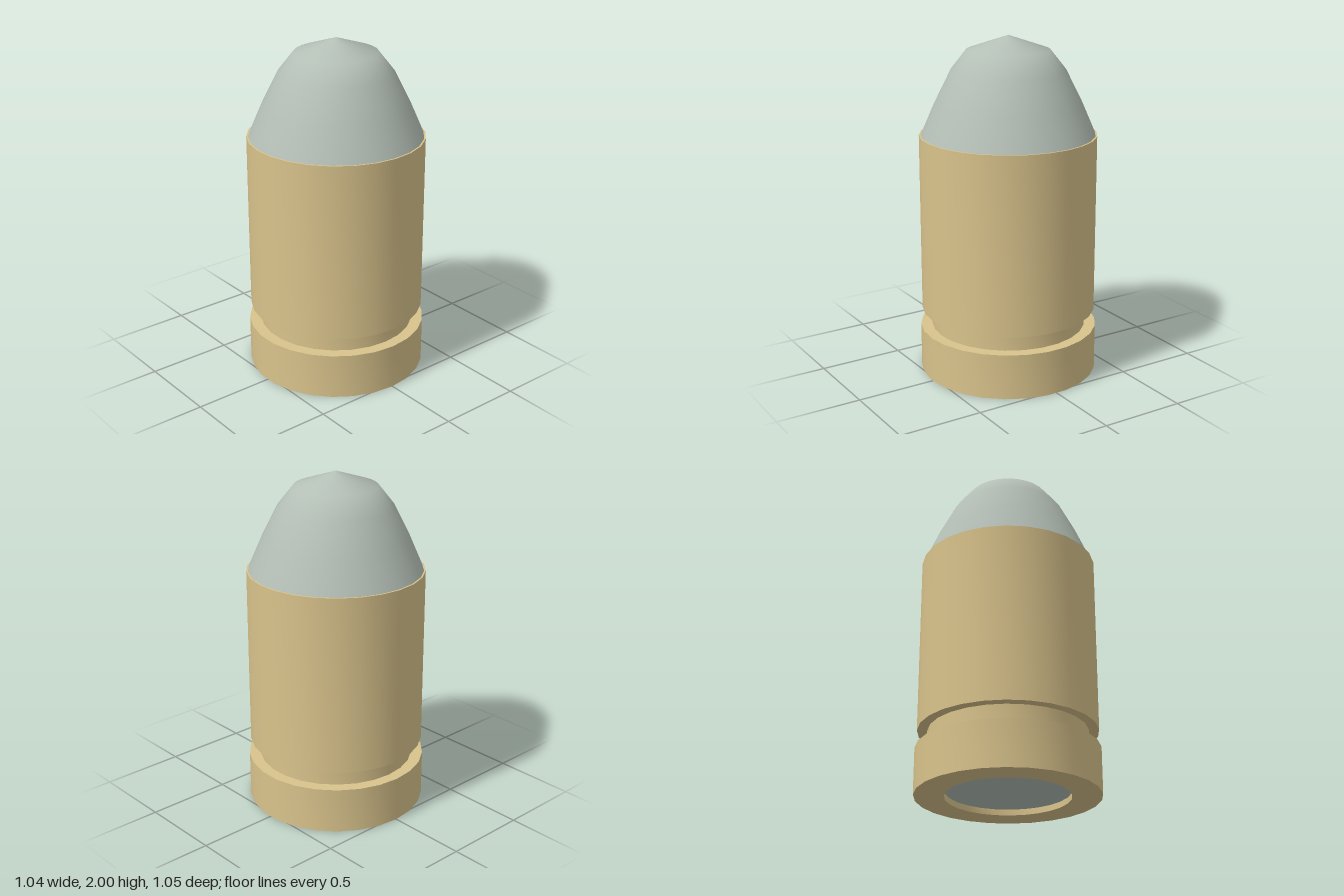
import * as THREE from 'three';
import { toCreasedNormals } from 'three/addons/utils/BufferGeometryUtils.js';

const SIDES = 26;

const brass = new THREE.MeshStandardMaterial({ color: 0xd9c38c });
brass.name = 'brass';
const lead = new THREE.MeshStandardMaterial({ color: 0xb3beb5 });
lead.name = 'grey lead';

// Spins an [radius, height] profile, listed from the bottom up, around y
function lathe(profile) {
  return new THREE.LatheGeometry(profile.map(([r, y]) => new THREE.Vector2(r, y)), SIDES);
}

function part(name, geometry, material) {
  const mesh = new THREE.Mesh(geometry, material);
  mesh.name = name;
  return mesh;
}

export function createModel() {
  const group = new THREE.Group();
  group.name = 'cartridge';

  // Casing: recess wall, base rim, extractor groove, body and thin mouth
  const casing = lathe([
    [0.355, 0.035], [0.355, 0], [0.525, 0], [0.525, 0.27],
    [0.457, 0.27], [0.457, 0.375], [0.515, 0.375], [0.515, 1.43], [0.5, 1.43],
  ]);
  group.add(part('casing', toCreasedNormals(casing, 0.7), brass));

  // Primer: flat disc at the bottom of the base recess
  group.add(part('primer', lathe([[0, 0.035], [0.355, 0.035]]), lead));

  // Bullet: smooth ogive with a shallow conical tip
  group.add(part('bullet', lathe([
    [0.505, 1.43], [0.427, 1.61], [0.332, 1.8], [0.24, 1.917], [0, 2],
  ]), lead));

  return group;
}
